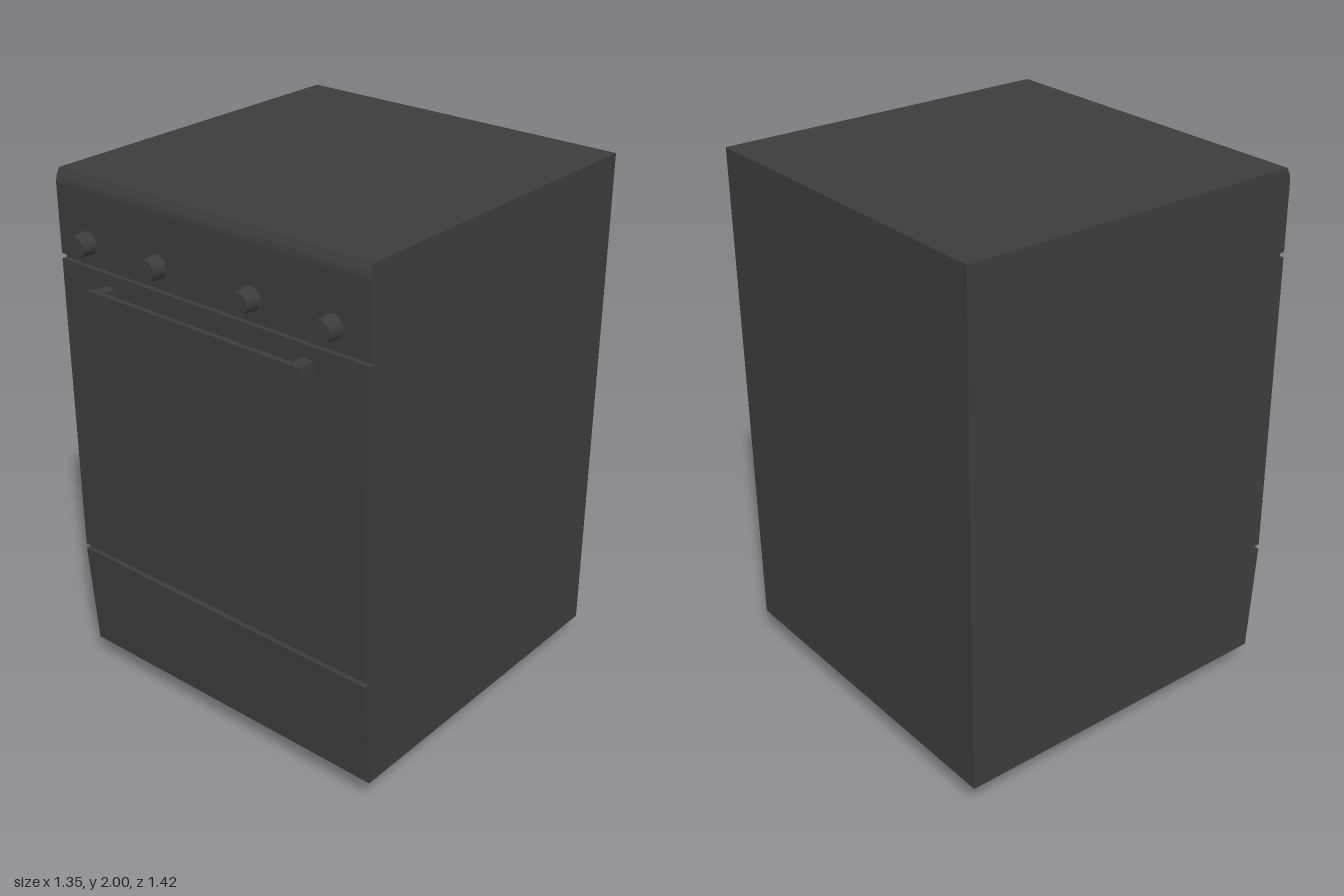
import * as THREE from 'three';

const dark = new THREE.MeshStandardMaterial({ color: 0x3c3c3c });

function add(parent, name, geometry, x = 0, y = 0, z = 0) {
  const mesh = new THREE.Mesh(geometry, dark);
  mesh.name = name;
  mesh.position.set(x, y, z);
  parent.add(mesh);
  return mesh;
}

export function createModel() {
  const stove = new THREE.Group();
  stove.name = 'stove';
  const width = 1.345, back = -0.71, front = 0.633, recess = 0.615;

  // Cabinet: side profile (z, y) with seams around the door and a sloped drawer
  const profile = [
    [back, 0.095], [0.603, 0.095], [front, 0.515],
    [recess, 0.515], [recess, 0.535], [front, 0.535],
    [front, 1.68], [recess, 1.68], [recess, 1.70], [front, 1.70],
    [front, 1.955], [0.628, 1.975], [0.615, 2], [back, 2],
  ].map(([z, y]) => new THREE.Vector2(z, y));
  const cabinet = new THREE.ExtrudeGeometry(new THREE.Shape(profile), { depth: width, bevelEnabled: false });
  cabinet.translate(0, 0, -width / 2).rotateY(-Math.PI / 2);
  add(stove, 'cabinet', cabinet);

  // Control knobs, slightly tapered
  const knob = new THREE.CylinderGeometry(0.037, 0.042, 0.06, 24).rotateX(Math.PI / 2);
  for (const x of [-0.533, -0.203, 0.203, 0.533]) add(stove, 'knob', knob, x, 1.77, 0.658);

  // Door handle: bar on two posts
  const handle = new THREE.Group();
  handle.name = 'doorHandle';
  stove.add(handle);
  add(handle, 'handleBar', new THREE.BoxGeometry(0.935, 0.052, 0.02), 0, 1.614, 0.7);
  const post = new THREE.BoxGeometry(0.045, 0.04, 0.07);
  for (const s of [-1, 1]) add(handle, 'handlePost', post, s * 0.438, 1.614, 0.66);

  // Square tapered feet
  const foot = new THREE.CylinderGeometry(0.062 * Math.SQRT2, 0.038 * Math.SQRT2, 0.097, 4)
    .rotateY(Math.PI / 4).toNonIndexed();
  foot.computeVertexNormals();
  for (const x of [-0.531, 0.531])
    for (const z of [0.466, -0.571]) add(stove, 'foot', foot, x, 0.0485, z);

  return stove;
}
